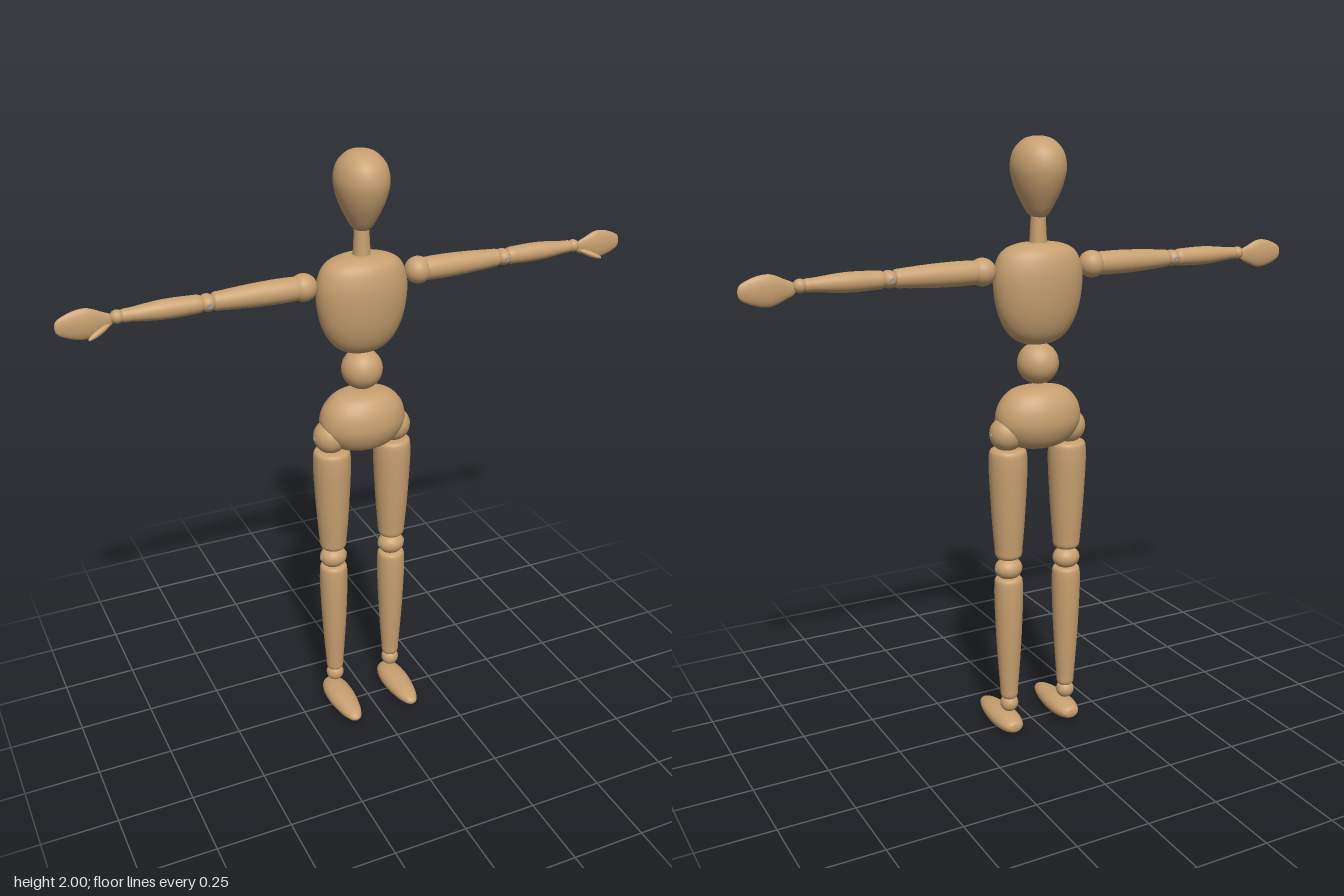
import * as THREE from 'three';
import { mergeVertices } from 'three/addons/utils/BufferGeometryUtils.js';

const Z = -0.046; // depth of the body axis

// Smooth turned solid from [radius, height] points, listed bottom to top
function turned(points) {
  const curve = new THREE.CatmullRomCurve3(points.map(([r, y]) => new THREE.Vector3(r, y, 0)));
  const profile = curve.getPoints((points.length - 1) * 5).map(p => new THREE.Vector2(Math.max(0, p.x), p.y));
  profile[0].x = profile[profile.length - 1].x = 0;
  return new THREE.LatheGeometry(profile, 36);
}

// Tapered limb with rounded ends, running along y from 0 to length
function limb(length, r0, rMid, r1) {
  return turned([
    [0, 0], [r0 * 0.7, 0.001], [r0 * 0.92, 0.01], [r0, 0.04],
    [rMid, length / 2],
    [r1, length - 0.03], [r1 * 0.92, length - 0.007], [r1 * 0.7, length - 0.001], [0, length],
  ]);
}

export function createModel() {
  const model = new THREE.Group();
  model.name = 'jointedFigure';
  const wood = new THREE.MeshStandardMaterial({ color: 0xc8a070 });
  wood.name = 'wood';
  const metal = new THREE.MeshStandardMaterial({ color: 0x9a9fa6 });
  metal.name = 'pin metal';

  function add(parent, name, geometry, x, y, z, material = wood) {
    const mesh = new THREE.Mesh(geometry, material);
    mesh.name = name;
    mesh.position.set(x, y, z);
    parent.add(mesh);
    return mesh;
  }
  const ball = (parent, name, r, x, y, z = Z) =>
    add(parent, name, new THREE.SphereGeometry(r, 32, 20), x, y, z);
  // Small pin lying along x or z
  function pin(parent, axis, length, x, y) {
    const mesh = add(parent, 'jointPin', new THREE.CylinderGeometry(0.007, 0.007, length, 12), x, y, Z, metal);
    if (axis === 'x') mesh.rotation.z = Math.PI / 2;
    else mesh.rotation.x = Math.PI / 2;
  }

  // Head and neck
  add(model, 'head', turned([
    [0, 1.75], [0.025, 1.757], [0.055, 1.805], [0.077, 1.86], [0.085, 1.91],
    [0.074, 1.957], [0.045, 1.989], [0.02, 1.998], [0, 2],
  ]), 0, 0, Z).scale.z = 1.18;
  add(model, 'neck', new THREE.CylinderGeometry(0.022, 0.029, 0.13, 28), 0, 1.725, Z);

  // Chest and waist ball
  add(model, 'chest', turned([
    [0, 1.355], [0.055, 1.358], [0.1, 1.388], [0.135, 1.45], [0.152, 1.54],
    [0.148, 1.6], [0.125, 1.648], [0.075, 1.672], [0, 1.676],
  ]), 0, 0, Z).scale.z = 0.64;
  ball(model, 'waistBall', 0.068, 0, 1.29);

  // Pelvis, trimmed at the sides to seat the hip balls
  let pelvis = turned([
    [0, 1.012], [0.06, 1.015], [0.11, 1.036], [0.14, 1.075], [0.148, 1.11],
    [0.136, 1.16], [0.1, 1.2], [0.06, 1.213], [0, 1.216],
  ]);
  const p = pelvis.attributes.position;
  for (let i = 0; i < p.count; i++) {
    const limit = 0.1 + Math.max(0, p.getY(i) - 1.02) * 0.5;
    p.setX(i, THREE.MathUtils.clamp(p.getX(i), -limit, limit));
  }
  pelvis.deleteAttribute('uv');
  pelvis.deleteAttribute('normal');
  pelvis = mergeVertices(pelvis);
  pelvis.computeVertexNormals();
  add(model, 'pelvis', pelvis, 0, 0, Z).scale.z = 0.71;

  for (const s of [-1, 1]) {
    const side = s > 0 ? 'left' : 'right';

    // Arm, stretched out sideways
    const arm = new THREE.Group();
    arm.name = side + 'Arm';
    model.add(arm);
    const armY = 1.595;
    const along = (name, geometry, x, y = armY) => {
      const mesh = add(arm, name, geometry, s * x, y, Z);
      mesh.rotation.z = -s * Math.PI / 2;
      return mesh;
    };
    ball(arm, 'shoulderBall', 0.044, s * 0.196, armY);
    along('upperArm', limb(0.285, 0.038, 0.037, 0.03), 0.205);
    ball(arm, 'elbow', 0.027, s * 0.505, armY).scale.z = 1.25;
    pin(arm, 'z', 0.07, s * 0.505, armY);
    along('forearm', limb(0.25, 0.029, 0.03, 0.021), 0.518);
    ball(arm, 'wristBall', 0.021, s * 0.777, armY);
    along('hand', turned([
      [0, 0], [0.015, 0.003], [0.029, 0.03], [0.046, 0.07], [0.046, 0.1],
      [0.036, 0.135], [0.019, 0.164], [0, 0.17],
    ]), 0.79, 1.588).scale.z = 0.36;
    const thumb = ball(arm, 'thumb', 1, s * 0.837, 1.563, -0.026);
    thumb.scale.set(0.009, 0.041, 0.009);
    thumb.quaternion.setFromUnitVectors(
      new THREE.Vector3(0, 1, 0), new THREE.Vector3(s * 0.073, -0.03, 0.028).normalize());

    // Leg
    const leg = new THREE.Group();
    leg.name = side + 'Leg';
    model.add(leg);
    const x = s * 0.11;
    ball(leg, 'hipBall', 0.057, s * 0.114, 1.068);
    pin(leg, 'x', 0.02, s * 0.163, 1.068);
    add(leg, 'thigh', limb(0.38, 0.047, 0.058, 0.063), x, 0.64, Z);
    ball(leg, 'knee', 1, x, 0.604).scale.set(0.047, 0.038, 0.043);
    pin(leg, 'x', 0.096, x, 0.604);
    add(leg, 'shin', limb(0.445, 0.031, 0.043, 0.048), x, 0.13, Z);
    ball(leg, 'ankleBall', 0.031, x, 0.11);
    const foot = add(leg, 'foot', turned([
      [0, -0.1], [0.025, -0.094], [0.042, -0.06], [0.048, 0], [0.043, 0.06],
      [0.031, 0.115], [0.016, 0.145], [0, 0.152],
    ]), x, 0.035, 0);
    foot.rotation.x = Math.PI / 2;
    foot.scale.z = 0.7;
  }
  return model;
}
